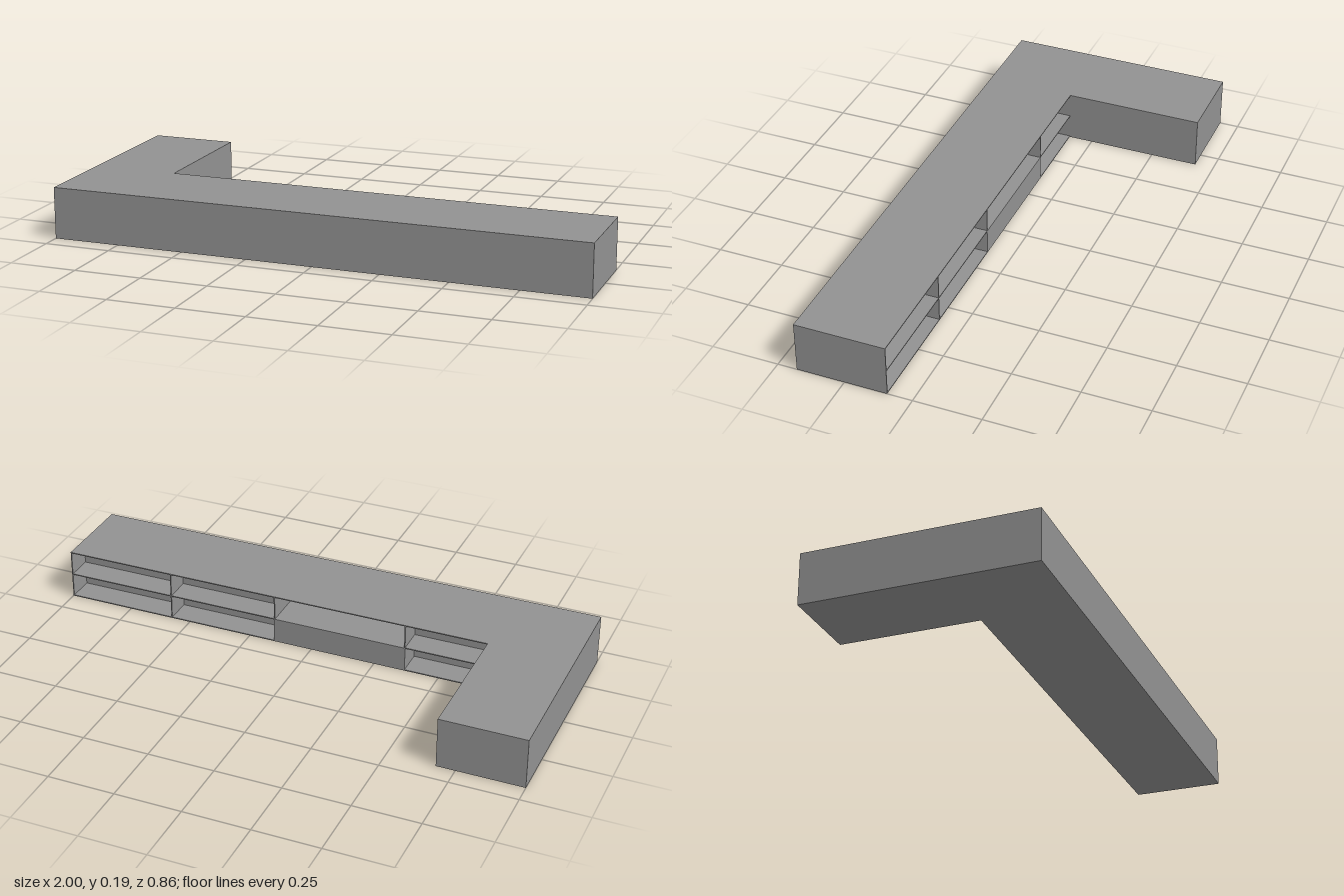
import * as THREE from 'three';

export function createModel() {
  const group = new THREE.Group();
  const grey = new THREE.MeshStandardMaterial({ color: 0x929292 });
  grey.name = 'grey';

  const H = 0.192, T = 0.004;          // counter height, board thickness
  const FRONT = 0.428, BACK = 0.092;   // long bar in z
  const WING = -0.68;                  // inner side of the short wing
  const SHELF_BACK = 0.192, DESK_BACK = 0.242;
  const MID = 0.096;                   // shelf height

  // box given by its extents
  function board(name, x0, x1, y0, y1, z0, z1) {
    const mesh = new THREE.Mesh(new THREE.BoxGeometry(x1 - x0, y1 - y0, z1 - z0), grey);
    mesh.position.set((x0 + x1) / 2, (y0 + y1) / 2, (z0 + z1) / 2);
    mesh.name = name;
    group.add(mesh);
  }

  // L-shaped counter body, drawn in plan (shape y = -z)
  const plan = new THREE.Shape([
    [-1, -FRONT], [1, -FRONT], [1, -DESK_BACK], [WING, -DESK_BACK], [WING, FRONT], [-1, FRONT],
  ].map(([x, y]) => new THREE.Vector2(x, y)));
  const bodyGeometry = new THREE.ExtrudeGeometry(plan, { depth: H, bevelEnabled: false });
  bodyGeometry.rotateX(-Math.PI / 2);
  const body = new THREE.Mesh(bodyGeometry, grey);
  body.name = 'counterBody';
  group.add(body);

  // top and bottom boards over the open bays
  board('counterTop', WING, 1, H - T, H, BACK, DESK_BACK);
  board('counterFloor', WING, 1, 0, T, BACK, DESK_BACK);

  // upright boards: end panel and three dividers
  board('endPanel', 1 - T, 1, T, H - T, BACK, DESK_BACK);
  const dividers = [0.575, 0.148, -0.368];
  dividers.forEach((x) => board('divider', x - T / 2, x + T / 2, T, H - T, BACK, DESK_BACK));

  // bays between the uprights; the third is a closed desk below an open niche
  const edges = [1 - T / 2, ...dividers, WING - T / 2];
  for (let i = 0; i < 4; i++) {
    const x0 = edges[i + 1] + T / 2, x1 = edges[i] - T / 2;
    if (i === 2) {
      board('closedCabinet', x0, x1, T, MID, BACK, DESK_BACK);
    } else {
      board('shelfBack', x0, x1, T, H - T, SHELF_BACK, DESK_BACK);
      board('shelf', x0, x1, MID - T / 2, MID + T / 2, BACK, SHELF_BACK);
    }
  }
  return group;
}
